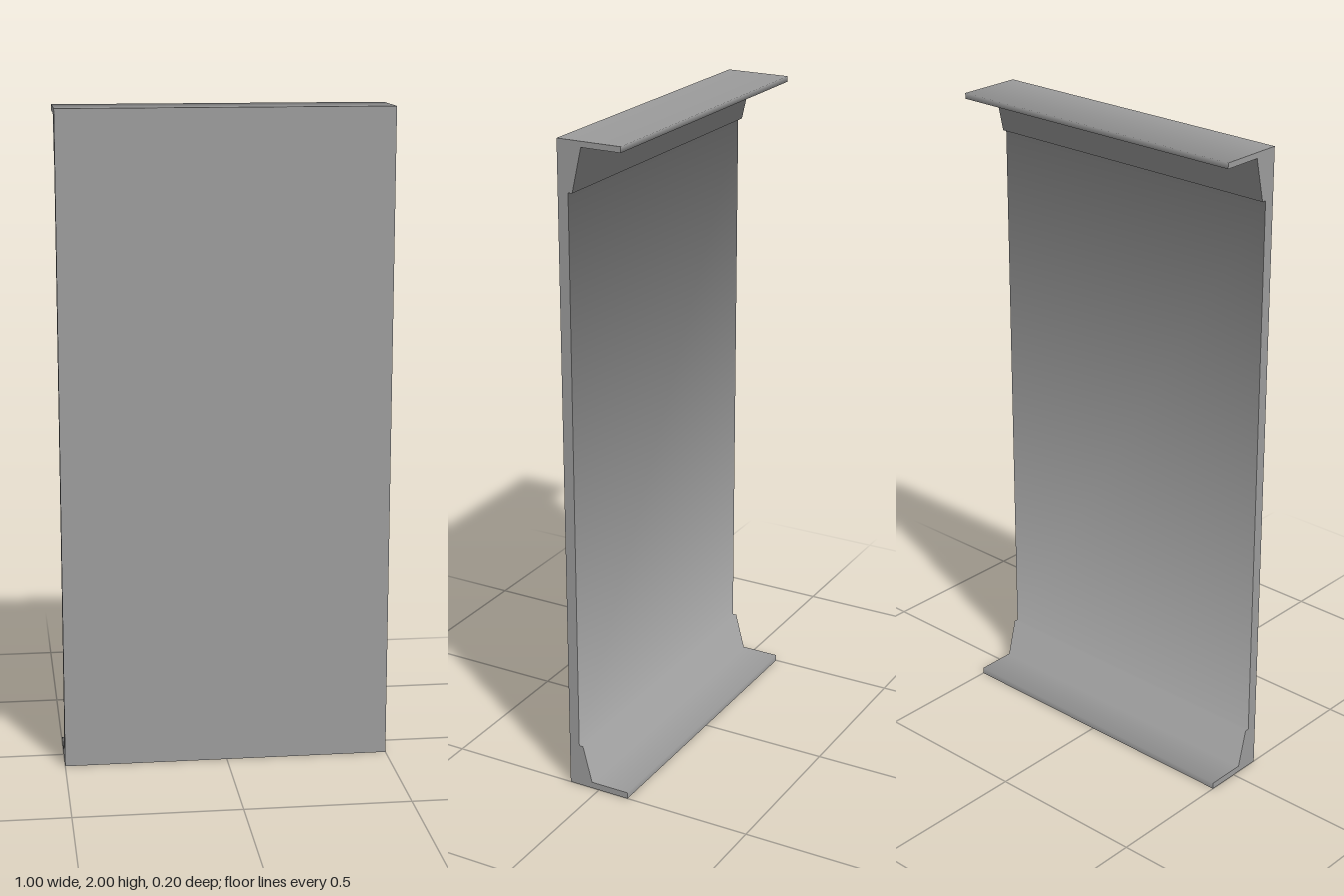
import * as THREE from 'three';

const HALF_WIDTH = 0.5;

// Section rows are [z, y, shading angle]: 0 faces the rear, 90 faces up.
// Rear skin: top flange, taper, web back, taper and bottom flange, smooth shaded.
const REAR = [
  [0.1, 2, 90], [-0.1, 2, 25],          // top flange
  [-0.1, 1.983, -45], [0.024, 1.983, -50], // its underside
  [0.054, 1.852, -50], [0.067, 1.852, -45], // upper taper and step
  [0.067, 0.135, 45], [0.054, 0.135, 50],  // web back, lower step
  [0.024, 0.02, 50], [-0.1, 0.02, 25],    // lower taper, bottom flange
  [-0.1, 0, 0],
];
const UNDERSIDE = [[-0.1, 0, -90], [0.1, 0, -90]];
const FRONT = [[0.1, 0, 180], [0.1, 2, 180]];

// Sweeps a run of section rows across the full width.
function skin(rows) {
  const positions = [], normals = [], index = [];
  rows.forEach(([z, y, degrees], i) => {
    const angle = THREE.MathUtils.degToRad(degrees);
    for (const x of [-HALF_WIDTH, HALF_WIDTH]) {
      positions.push(x, y, z);
      normals.push(0, Math.sin(angle), -Math.cos(angle));
    }
    if (i > 0) {
      const a = 2 * i - 2;
      index.push(a, a + 1, a + 3, a, a + 3, a + 2);
    }
  });
  const geometry = new THREE.BufferGeometry();
  geometry.setAttribute('position', new THREE.Float32BufferAttribute(positions, 3));
  geometry.setAttribute('normal', new THREE.Float32BufferAttribute(normals, 3));
  geometry.setIndex(index);
  return geometry;
}

// Flat end closing the section on one side (1 = left, -1 = right).
function endCap(side) {
  const outline = REAR.concat([[0.1, 0]]).map(([z, y]) => new THREE.Vector2(-side * z, y));
  const geometry = new THREE.ShapeGeometry(new THREE.Shape(outline));
  geometry.rotateY(side * Math.PI / 2);
  geometry.translate(side * HALF_WIDTH, 0, 0);
  return geometry;
}

export function createModel() {
  const group = new THREE.Group();
  group.name = 'flangedPanel';
  const material = new THREE.MeshStandardMaterial({ color: 0x9c9c9c });
  const parts = {
    rearFlangesAndWeb: skin(REAR),
    underside: skin(UNDERSIDE),
    frontFace: skin(FRONT),
    leftEnd: endCap(1),
    rightEnd: endCap(-1),
  };
  for (const [name, geometry] of Object.entries(parts)) {
    const mesh = new THREE.Mesh(geometry, material);
    mesh.name = name;
    group.add(mesh);
  }
  return group;
}
